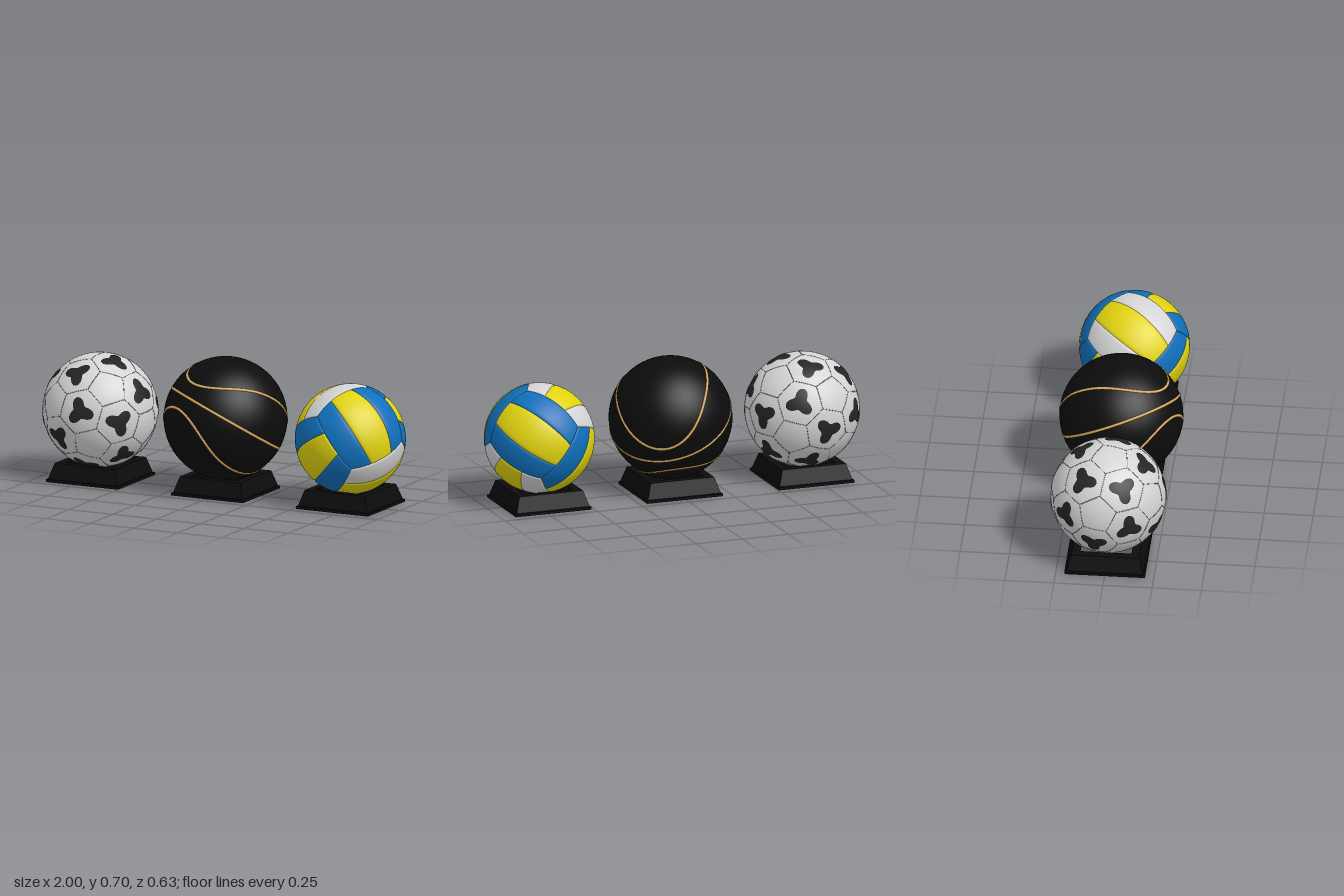
import * as THREE from 'three';
import { mergeGeometries } from 'three/addons/utils/BufferGeometryUtils.js';

const V = (x, y, z) => new THREE.Vector3(x, y, z);
const rad = THREE.MathUtils.degToRad;
const paint = (name, color) => Object.assign(new THREE.MeshStandardMaterial({ color }), { name });

function addMesh(parent, name, geometry, material) {
  const mesh = new THREE.Mesh(geometry, material);
  mesh.name = name;
  parent.add(mesh);
  return mesh;
}

// Hollow square stand with a square opening that holds the ball
function standGeometry() {
  const profile = [
    [0.205, 0], [0.205, 0.014], [0.197, 0.016], [0.172, 0.095], [0.13, 0.095],
    [0.13, 0.088], [0.165, 0.088], [0.188, 0.01], [0.188, 0], [0.205, 0],
  ].map(([half, y]) => new THREE.Vector2(half * Math.SQRT2, y));
  const g = new THREE.LatheGeometry(profile, 4).rotateY(Math.PI / 4).toNonIndexed();
  g.computeVertexNormals();
  return g;
}

// White ball with twelve pentagons and twenty hexagons, a dark patch on each hexagon
function makeFootball(R, white, seam, dark) {
  const ball = new THREE.Group();
  ball.name = 'football';
  addMesh(ball, 'footballSkin', new THREE.SphereGeometry(R, 64, 40), white);

  // Panel centres around one pentagon axis
  const axis = V(0.493, 0.559, 0.666).normalize();
  const e1 = V(0.11, 0.16, 0.98).projectOnPlane(axis).normalize();
  const e2 = axis.clone().cross(e1);
  const polar = (theta, phi) => axis.clone().multiplyScalar(Math.cos(rad(theta)))
    .addScaledVector(e1, Math.sin(rad(theta)) * Math.cos(rad(phi)))
    .addScaledVector(e2, Math.sin(rad(theta)) * Math.sin(rad(phi)));
  const hexes = [], pents = [axis.clone(), axis.clone().negate()];
  for (let k = 0; k < 5; k++) {
    for (const theta of [37.38, 79.19]) {
      const h = polar(theta, k * 72);
      hexes.push(h, h.clone().negate());
    }
    const p = polar(63.43, 36 + k * 72);
    pents.push(p, p.clone().negate());
  }

  // Seams along every edge between neighbouring panels
  const seams = [];
  const addSeam = (a, b) => {
    const t = a.clone().cross(b).normalize();
    const m = a.clone().applyAxisAngle(t, rad(20.9));
    const pts = [-1, -0.5, 0, 0.5, 1].map((s) => m.clone().multiplyScalar(Math.cos(rad(11.64 * s)))
      .addScaledVector(t, Math.sin(rad(11.64 * s))).multiplyScalar(R - 0.0006));
    seams.push(new THREE.TubeGeometry(new THREE.CatmullRomCurve3(pts), 8, 0.0019, 5));
  };
  const near = (a, b) => a.angleTo(b) < rad(45);
  hexes.forEach((h, i) => {
    hexes.slice(i + 1).filter((o) => near(h, o)).forEach((o) => addSeam(h, o));
    pents.filter((p) => near(h, p)).forEach((p) => addSeam(h, p));
  });
  addMesh(ball, 'footballSeams', mergeGeometries(seams), seam);

  // Three-lobed patches, lobes aimed at the neighbouring hexagons
  const patches = hexes.map((h) => {
    const u = hexes.find((o) => o !== h && near(h, o)).clone().projectOnPlane(h).normalize();
    const w = h.clone().cross(u);
    const g = new THREE.RingGeometry(0, 1, 36, 4);
    const pos = g.attributes.position;
    for (let i = 0; i < pos.count; i++) {
      const angle = Math.atan2(pos.getY(i), pos.getX(i));
      const r = Math.hypot(pos.getX(i), pos.getY(i)) * (0.057 + 0.02 * Math.cos(3 * angle)) / R;
      const p = h.clone().addScaledVector(u, r * Math.cos(angle)).addScaledVector(w, r * Math.sin(angle));
      p.setLength(R + 0.0018);
      pos.setXYZ(i, p.x, p.y, p.z);
      p.normalize();
      g.attributes.normal.setXYZ(i, p.x, p.y, p.z);
    }
    return g;
  });
  addMesh(ball, 'footballPatches', mergeGeometries(patches), dark);
  return ball;
}

// Black ball with a great circle and a wavy loop on either side
function makeBasketball(R, black, gold) {
  const ball = new THREE.Group();
  ball.name = 'basketball';
  addMesh(ball, 'basketballSkin', new THREE.SphereGeometry(R, 64, 40), black);
  const n = V(0.368, 0.856, -0.369).normalize();
  const e1 = V(0, 0, 1).projectOnPlane(n).normalize();
  const e2 = n.clone().cross(e1);
  for (const [name, side] of [['middleLine', 0], ['upperLine', 1], ['lowerLine', -1]]) {
    const pts = [];
    for (let k = 0; k < 72; k++) {
      const phi = rad(k * 5), d = phi + rad(30);
      const s = side * (0.48 - 0.21 * Math.cos(2 * d) - 0.03 * Math.cos(4 * d));
      const c = Math.sqrt(1 - s * s);
      pts.push(n.clone().multiplyScalar(s).addScaledVector(e1, c * Math.cos(phi))
        .addScaledVector(e2, c * Math.sin(phi)).multiplyScalar(R - 0.005));
    }
    const curve = new THREE.CatmullRomCurve3(pts, true);
    addMesh(ball, name, new THREE.TubeGeometry(curve, 160, 0.0085, 8, true), gold);
  }
  return ball;
}

// One padded strip of a cube face pushed out to the sphere
function stripGeometry(R, normal, along, index) {
  const across = along.clone().cross(normal);
  const g = new THREE.PlaneGeometry(1, 1, 16, 36);
  const pos = g.attributes.position;
  const ease = (t) => 0.5 - 0.5 * Math.cos(Math.PI * t);
  for (let i = 0; i < pos.count; i++) {
    const a = ease(pos.getX(i) + 0.5), b = ease(pos.getY(i) + 0.5);
    const edge = Math.min(Math.min(a, 1 - a) * 2 / 3, Math.min(b, 1 - b) * 2);
    const dip = 0.005 * Math.max(0, 1 - edge / 0.05) ** 2;
    const p = normal.clone().addScaledVector(across, -1 + (index + a) * 2 / 3)
      .addScaledVector(along, -1 + 2 * b).setLength(R - dip);
    pos.setXYZ(i, p.x, p.y, p.z);
  }
  g.computeVertexNormals();
  return g;
}

// Ball of six faces, three strips each
function makeVolleyball(R, white, yellow, blue) {
  const ball = new THREE.Group();
  ball.name = 'volleyball';
  const d = V(0.61, -0.79, 0.016).normalize();
  const a = V(0.614, 0.516, 0.597).projectOnPlane(d).normalize();
  const b = a.clone().cross(d);
  const faces = [['front', a, d, blue], ['rear', b, a, blue], ['lower', d, b, white]];
  for (const [name, normal, along, outer] of faces) {
    for (const sign of [1, -1]) {
      for (let i = 0; i < 3; i++) {
        const g = stripGeometry(R, normal.clone().multiplyScalar(sign), along, i);
        addMesh(ball, `${name}${sign > 0 ? '' : 'Opposite'}Strip${i + 1}`, g, i === 1 ? yellow : outer);
      }
    }
  }
  return ball;
}

export function createModel() {
  const white = paint('white', 0xd4d4d4);
  const seam = paint('seamGrey', 0x8c8c8c);
  const dark = paint('charcoal', 0x242424);
  const black = paint('black', 0x0c0c0c);
  const gold = paint('gold', 0xd8a95c);
  const yellow = paint('yellow', 0xe0d20f);
  const blue = paint('blue', 0x0f6fba);

  const model = new THREE.Group();
  model.name = 'ballDisplay';
  const stand = standGeometry();
  const balls = [
    [makeFootball(0.293, white, seam, dark), -0.707, 0.357],
    [makeBasketball(0.314, black, gold), 0.007, 0.383],
    [makeVolleyball(0.281, white, yellow, blue), 0.719, 0.345],
  ];
  for (const [ball, x, y] of balls) {
    ball.position.set(x, y, 0);
    model.add(ball);
    addMesh(model, `${ball.name}Stand`, stand, black).position.x = x;
  }
  return model;
}
